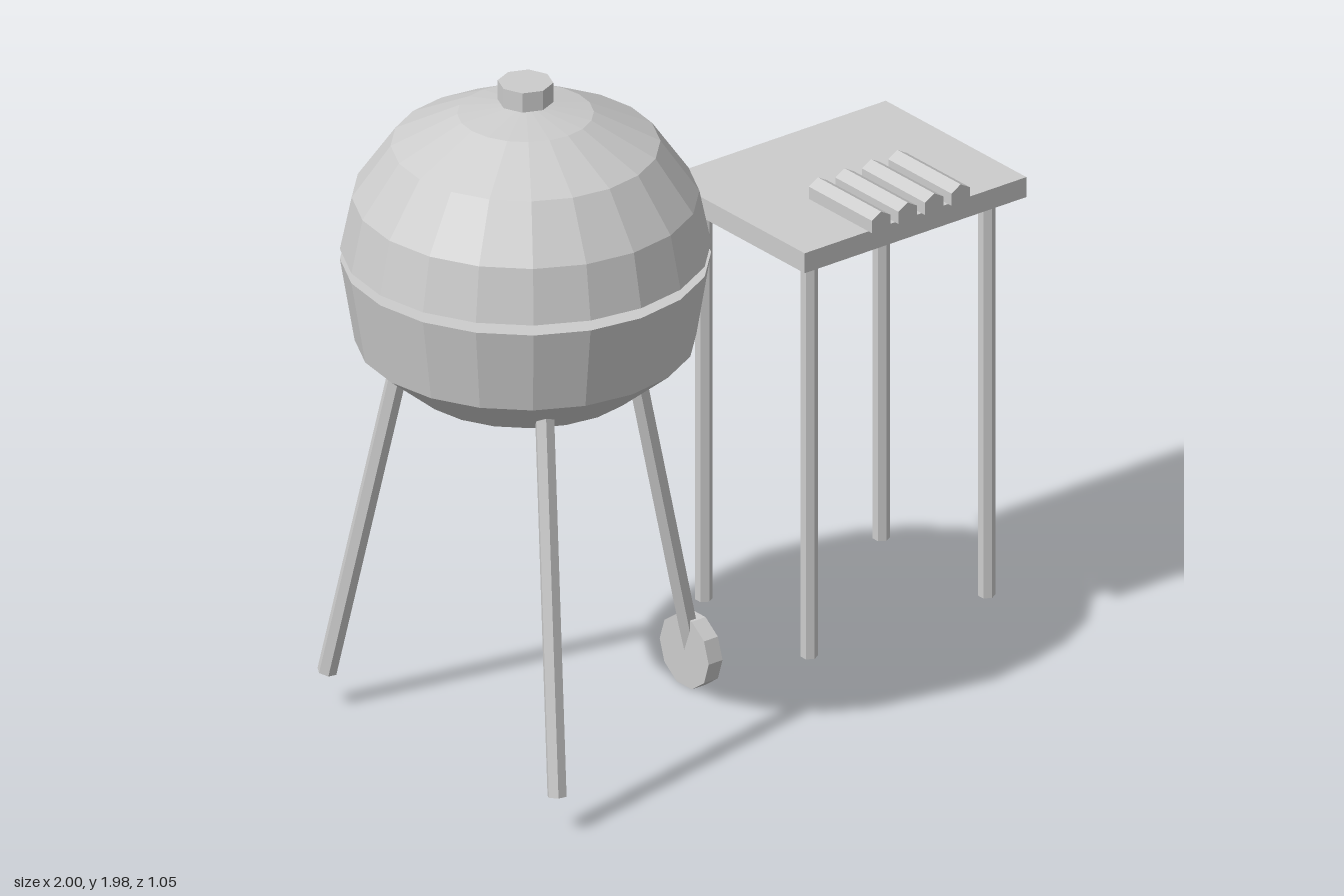
import * as THREE from 'three';

export function createModel() {
  const model = new THREE.Group();
  model.name = 'kettleGrillAndTable';
  const grey = new THREE.MeshStandardMaterial({ color: 0xcccccc, flatShading: true });
  grey.name = 'light grey';

  const add = (parent, name, geometry, x = 0, y = 0, z = 0) => {
    const mesh = new THREE.Mesh(geometry, grey);
    mesh.name = name;
    mesh.position.set(x, y, z);
    parent.add(mesh);
    return mesh;
  };
  // Twenty-sided shell from [radius, height] points, bottom to top
  const lathe = (points) =>
    new THREE.LatheGeometry(points.map(([r, y]) => new THREE.Vector2(r, y)), 20);

  // Kettle: bowl and lid with an open gap between them
  const grill = new THREE.Group();
  grill.name = 'grill';
  grill.position.x = -0.495;
  model.add(grill);
  add(grill, 'bowl', lathe([[0, 1.065], [0.315, 1.09], [0.465, 1.215], [0.505, 1.46], [0, 1.46]]));
  add(grill, 'lid', lathe([[0, 1.49], [0.505, 1.49], [0.473, 1.645], [0.367, 1.798], [0.186, 1.89], [0, 1.92]]));
  add(grill, 'lidKnob', new THREE.CylinderGeometry(0.076, 0.076, 0.058, 8), 0, 1.955, 0);

  // Three splayed legs, each leaning outwards from the kettle's axis
  const top = new THREE.Vector2(0.352, 1.14);
  const foot = new THREE.Vector2(0.58, 0.105);
  const legLength = top.distanceTo(foot);
  const lean = Math.atan2(foot.x - top.x, top.y - foot.y);
  for (let i = 0; i < 3; i++) {
    const pivot = new THREE.Group();
    pivot.name = 'grillLegPivot';
    pivot.rotation.y = (i * Math.PI * 2) / 3;
    grill.add(pivot);
    const geometry = new THREE.CylinderGeometry(0.028, 0.028, legLength, 6);
    geometry.rotateY(Math.PI / 2).rotateZ(lean);
    add(pivot, 'grillLeg', geometry, (top.x + foot.x) / 2, (top.y + foot.y) / 2, 0);
  }

  // Wheel at the foot of the leg beside the table
  const wheel = new THREE.CylinderGeometry(0.107, 0.107, 0.048, 10).rotateZ(Math.PI / 2);
  add(grill, 'wheel', wheel, 0.575, 0.102, 0);

  // Side table
  const table = new THREE.Group();
  table.name = 'sideTable';
  table.position.x = 0.615;
  model.add(table);
  add(table, 'tableTop', new THREE.BoxGeometry(0.77, 0.06, 0.614), 0, 1.335, 0);
  for (const x of [-0.308, 0.308]) {
    for (const z of [-0.23, 0.23]) {
      add(table, 'tableLeg', new THREE.CylinderGeometry(0.024, 0.024, 1.205, 6), x, 0.7025, z);
    }
  }

  // Four sausages lying side by side over the table's front edge
  for (let i = 0; i < 4; i++) {
    const geometry = new THREE.CylinderGeometry(0.037, 0.037, 0.276, 6).rotateX(Math.PI / 2);
    add(table, 'sausage', geometry, -0.155 + i * 0.092, 1.402, 0.214);
  }
  return model;
}
